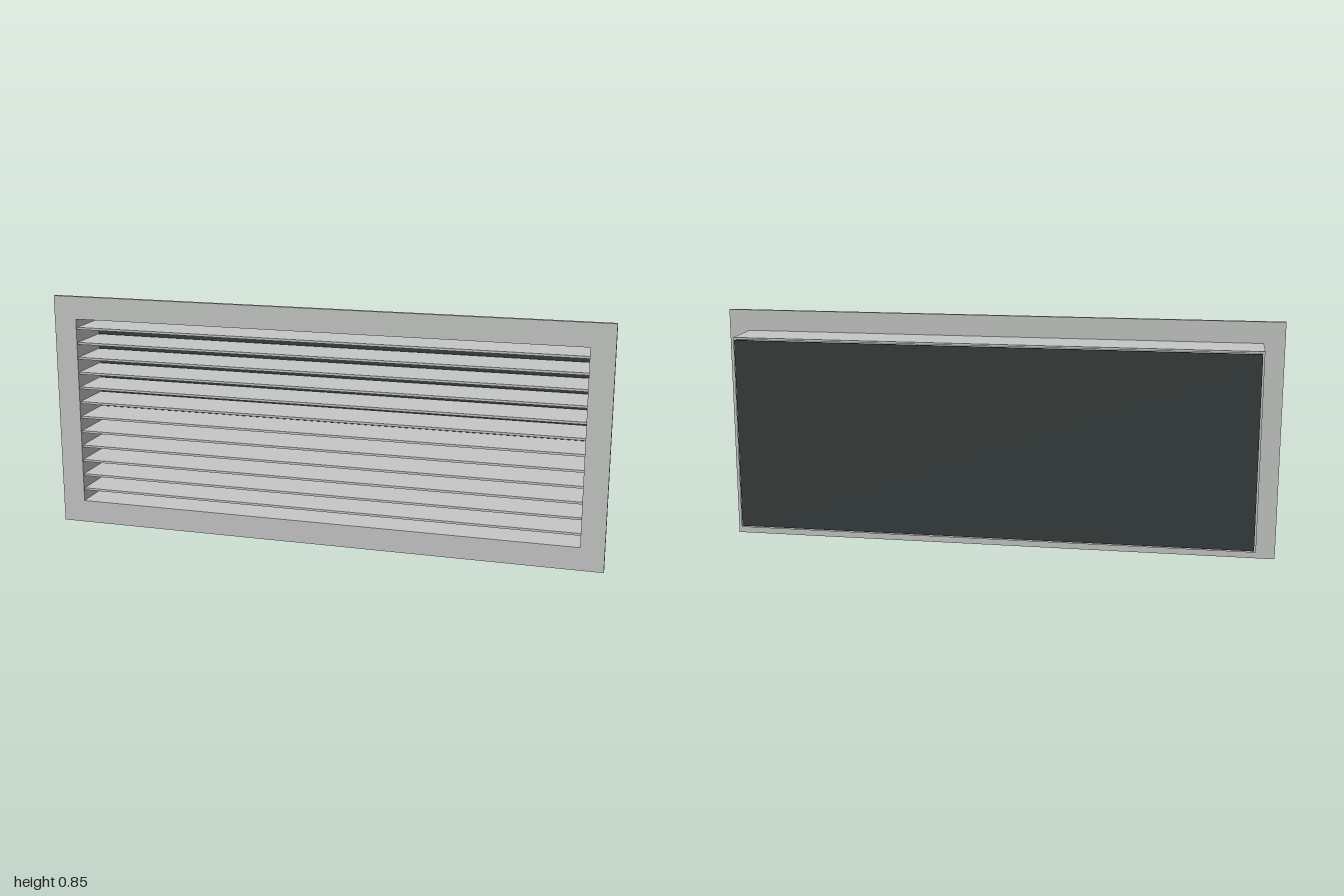
import * as THREE from 'three';

const HEIGHT = 0.853, MID = HEIGHT / 2;
const OPEN_W = 1.834, OPEN_H = 0.688;

// Rectangular ring around the opening, extruded from z0 to z1
function ring(name, width, height, z0, z1, material) {
  const rect = (C, w, h) => new C([
    new THREE.Vector2(-w / 2, -h / 2), new THREE.Vector2(w / 2, -h / 2),
    new THREE.Vector2(w / 2, h / 2), new THREE.Vector2(-w / 2, h / 2),
  ]);
  const shape = rect(THREE.Shape, width, height);
  shape.holes.push(rect(THREE.Path, OPEN_W, OPEN_H));
  const geometry = new THREE.ExtrudeGeometry(shape, { depth: z1 - z0, bevelEnabled: false });
  const mesh = new THREE.Mesh(geometry, material);
  mesh.name = name;
  mesh.position.set(0, MID, z0);
  return mesh;
}

function box(name, w, h, z0, z1, y, material) {
  const mesh = new THREE.Mesh(new THREE.BoxGeometry(w, h, z1 - z0), material);
  mesh.name = name;
  mesh.position.set(0, y, (z0 + z1) / 2);
  return mesh;
}

export function createModel() {
  const metal = new THREE.MeshStandardMaterial({ color: 0xc6c8c6 });
  metal.name = 'light grey metal';
  const dark = new THREE.MeshStandardMaterial({ color: 0x353c3b });
  dark.name = 'dark grey backing';

  const model = new THREE.Group();
  model.name = 'ventilationGrille';

  // Front flange and the duct collar behind it
  model.add(ring('frontFlange', 2, HEIGHT, 0.083, 0.098, metal));
  model.add(ring('ductCollar', 1.854, 0.702, -0.086, 0.083, metal));

  // Horizontal louvre slats
  const slats = new THREE.Group();
  slats.name = 'louvreSlats';
  for (let i = 0; i < 12; i++) {
    slats.add(box('slat', OPEN_W, 0.008, -0.08, 0.09, 0.126 + i * 0.0554, metal));
  }
  model.add(slats);

  // Backing panel, set just behind the collar
  model.add(box('backPanel', 1.84, 0.686, -0.097, -0.092, MID, dark));
  return model;
}
